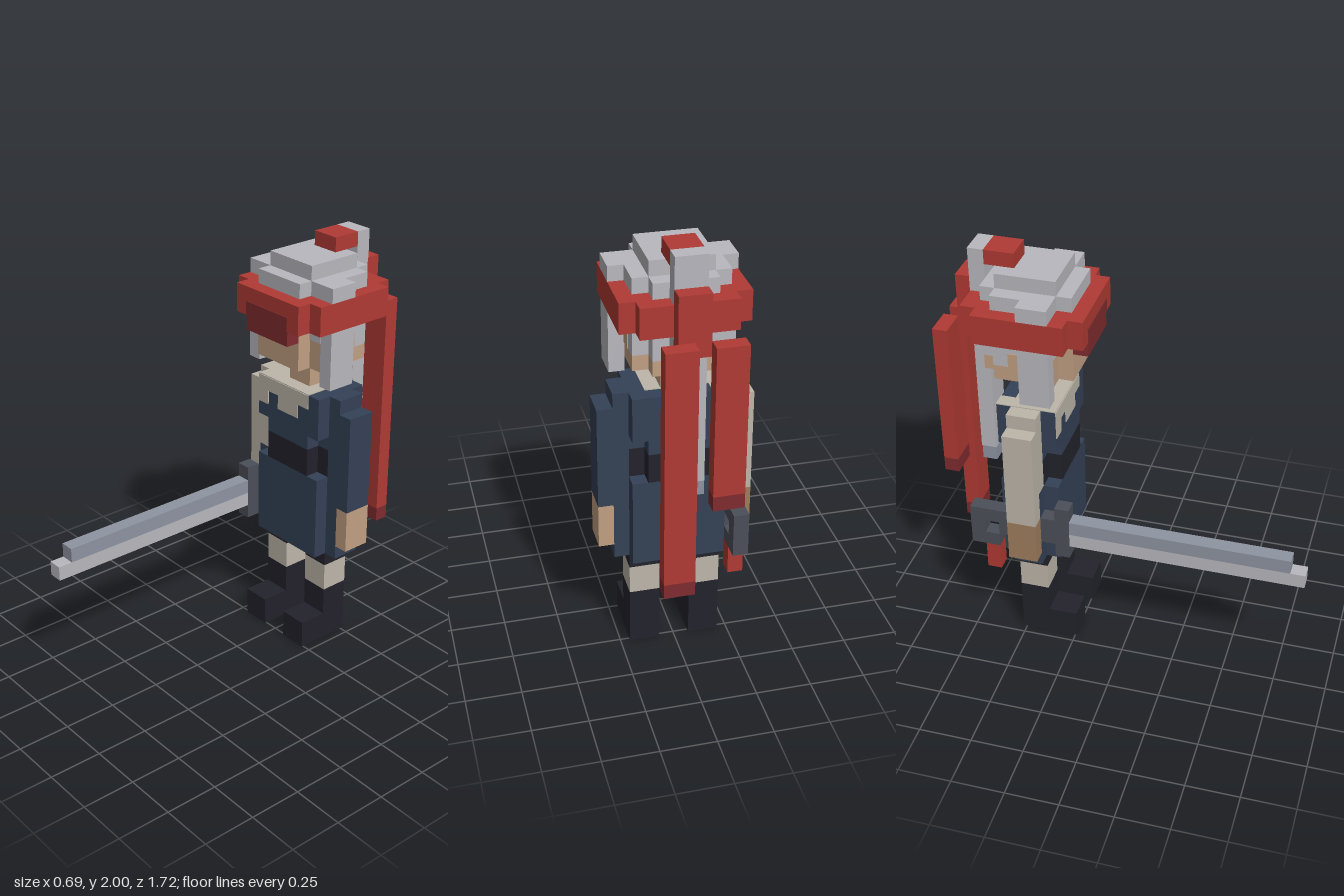
import * as THREE from 'three';

const U = 2 / 29; // one block; blocks count from x = 0, y = 0 and the rearmost z

const mat = (name, color) => {
  const m = new THREE.MeshStandardMaterial({ color });
  m.name = name;
  return m;
};

export function createModel() {
  const model = new THREE.Group();
  model.name = 'swordFighter';

  const red = mat('red', 0xb03a34);
  const darkRed = mat('darkRed', 0x7f2b2e);
  const silver = mat('silver', 0xb9b8be);
  const steel = mat('steel', 0x8f94a2);
  const skin = mat('skin', 0xc2a083);
  const tan = mat('tan', 0x9f7d5d);
  const cream = mat('cream', 0xbdb6aa);
  const navy = mat('navy', 0x344156);
  const black = mat('black', 0x23222c);
  const iron = mat('iron', 0x4b4f58);

  // Block from min/max corners in block units
  const box = (name, material, x0, x1, y0, y1, z0, z1) => {
    const g = new THREE.BoxGeometry((x1 - x0) * U, (y1 - y0) * U, (z1 - z0) * U);
    g.translate((x0 + x1) / 2 * U, (y0 + y1) / 2 * U, ((z0 + z1) / 2 - 12.5) * U);
    const mesh = new THREE.Mesh(g, material);
    mesh.name = name;
    model.add(mesh);
  };
  // Same block on side s (+1 left, -1 right), with x measured outward
  const side = (s, name, material, x0, x1, ...rest) =>
    box(name, material, Math.min(s * x0, s * x1), Math.max(s * x0, s * x1), ...rest);
  // Plus-shaped layer: wide and shallow crossed with narrow and deep
  const cross = (name, material, y0, y1, wide, wz0, wz1, narrow, nz0, nz1) => {
    box(name, material, -wide, wide, y0, y1, wz0, wz1);
    box(name, material, -narrow, narrow, y0, y1, nz0, nz1);
  };

  for (const s of [1, -1]) {
    const sleeve = s > 0 ? navy : cream;
    // Legs
    side(s, 'boot', black, 1, 3, 0, 4, 5, 7);
    side(s, 'bootToe', black, 1, 3, 0, 2, 7, 9);
    side(s, 'stocking', cream, 1, 3, 4, 6, 5, 7);
    side(s, 'shorts', black, 1, 3, 6, 7, 5, 7);
    // Arms
    side(s, 'shoulder', sleeve, 3, 4, 13, 19, 5, 7);
    side(s, 'sleeve', sleeve, 4, 5, 11, 18, 5, 7);
    side(s, 'hand', s > 0 ? skin : tan, 4, 5, 8, 11, 5, 7);
    // Hair at the sides of the face
    side(s, 'hairLock', silver, 3, 4, 20, 24, 6, 8);
    side(s, 'temple', silver, 2, 3, 23, 24, 6, 8.05);
    side(s, 'ear', skin, 2.9, 3.06, 22, 23, 5, 6);
  }

  // Tunic
  cross('skirt', navy, 7, 13, 4, 5, 7, 3, 4, 8);
  cross('belt', black, 13, 15, 3, 5, 7, 2, 4, 8);
  cross('waist', navy, 15, 16, 3, 5, 7, 2, 4, 8);
  box('chest', navy, -3, 3, 16, 19, 4, 8);

  // Cream collar painted over the chest
  const t = 0.06;
  box('collarTop', cream, -3, 2, 19, 19 + t, 5, 8);
  box('collarFront', cream, -3, 2, 18, 19, 8, 8 + t);
  box('collarPoint', cream, -3, -2, 17, 18, 8, 8 + t);
  box('collarPoint', cream, -1, 1, 17, 18, 8, 8 + t);
  box('collarBack', cream, -3, -2, 17, 19, 4 - t, 4);
  box('collarBackTop', cream, -3, -2, 19, 19 + t, 4, 5);

  // Head
  box('neck', skin, -1, 1, 19, 21, 5, 7);
  cross('jaw', skin, 21, 22, 3, 4, 8, 2, 3, 9);
  box('face', skin, -3, 3, 22, 24, 6, 8);
  box('faceFront', skin, -2, 2, 22, 24, 8, 9);
  cross('backHair', silver, 22, 24, 3, 4, 6, 2, 3, 6);

  // Headband and the dark plate on its front
  cross('headband', red, 24, 26, 4, 3, 9, 3, 2, 10);
  box('browPlate', darkRed, -2, 2, 23, 24, 9, 10);
  box('browPlateTop', darkRed, -2, 2, 24, 25, 10, 10 + t);

  // Stepped crown of hair
  cross('crown', silver, 26, 27, 3, 4, 8, 2, 3, 9);
  box('crownSides', silver, -4, 4, 26, 27, 6, 8);
  box('crownTop', silver, -2, 2, 27, 28, 4, 8);

  // Ponytail, its tie and the knot of the band
  box('hairTie', red, -1, 1, 28, 29, 3, 5);
  box('ponytail', silver, -1, 1, 14, 29, 1.95, 3);
  box('ponytailTip', steel, -1, 1, 13, 14, 2, 3);
  box('knot', red, -1, 1, 23, 27, 1, 2);
  for (const [x, y] of [[0, 7], [-3, 13]]) {
    box('ribbon', red, x, x + 2, y + 1, 24, 0, 1);
    box('ribbonTip', darkRed, x, x + 2, y, y + 1, 0, 1);
  }

  // Sword held along the right hip
  box('bladeEdge', silver, -4, -3, 9, 10, 9, 25);
  box('bladeBack', steel, -4, -3, 10, 11, 9, 24);
  box('guard', iron, -4, -3, 8, 12, 8, 9);
  box('grip', iron, -4, -3, 9, 11, 7, 8);
  box('grip', iron, -4, -3, 9, 11, 4, 5);
  box('pommelTop', iron, -4, -3, 10, 11, 2, 4);
  box('pommelBottom', iron, -4, -3, 8, 9, 2, 4);
  box('pommelEnd', iron, -4, -3, 9, 10, 2, 3);
  box('tassel', red, -4, -3, 6, 8, 3, 4);

  return model;
}
